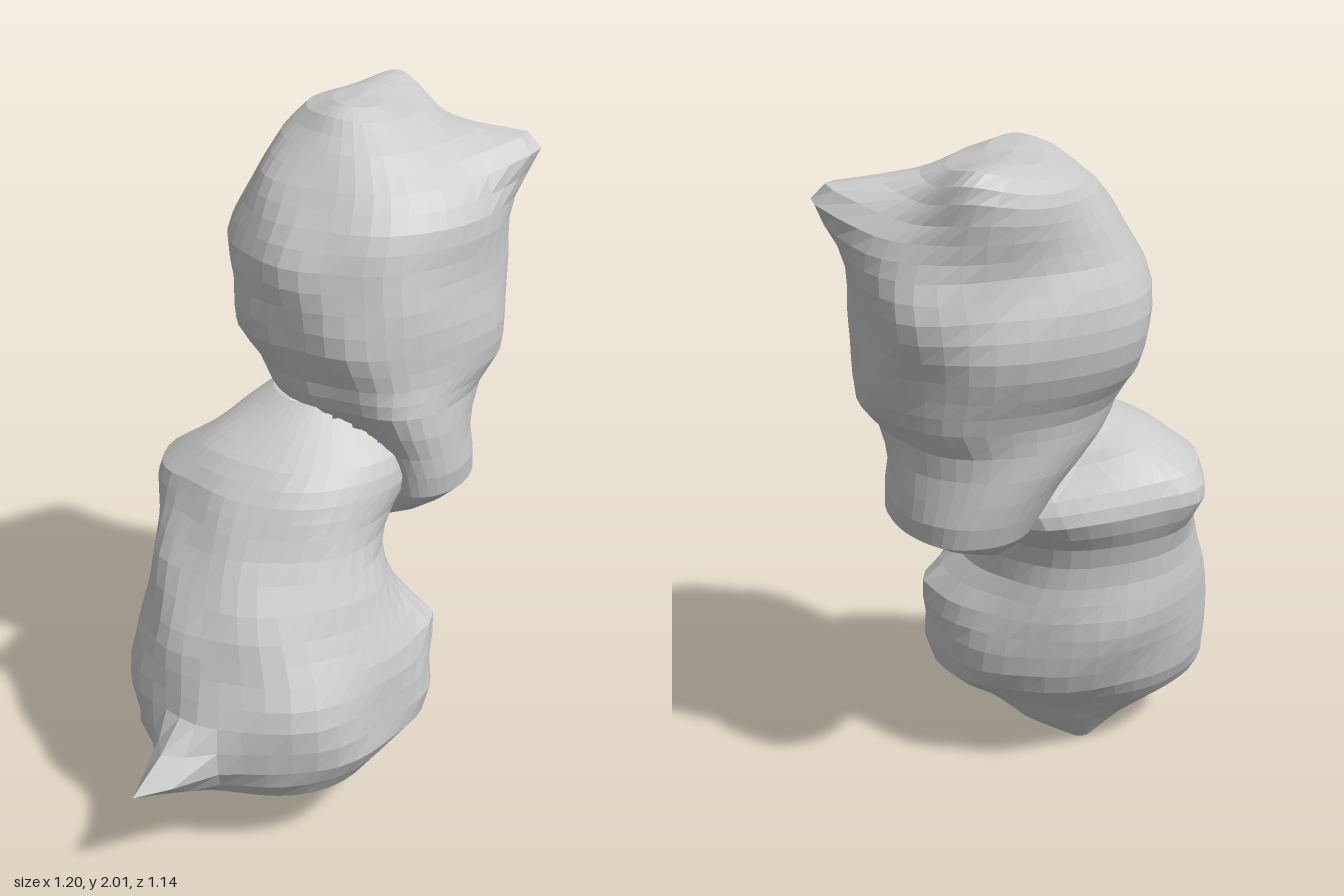
import * as THREE from 'three';

const SEGMENTS = 40;

// Smooth, repeatable lumps for the rocky surface
function lump(x, y, z) {
  return 0.5 * Math.sin(9 * x + 4 * y + 1) * Math.sin(8 * z - 5 * y)
    + 0.5 * Math.sin(17 * y + 6 * x) * Math.sin(15 * z + 11 * x + 2);
}

// True when a point lies well inside the ovals of a lobe
function isInside({ rings }, p) {
  const k = rings.findIndex((r) => r[0] > p.y);
  if (k < 1) return false;
  const t = (p.y - rings[k - 1][0]) / (rings[k][0] - rings[k - 1][0]);
  const [, x0, x1, z0, z1] = rings[k].map((e, i) => THREE.MathUtils.lerp(rings[k - 1][i], e, t));
  const u = (2 * p.x - x0 - x1) / (x1 - x0);
  const w = (2 * p.z - z0 - z1) / (z1 - z0);
  return u * u + w * w < 0.72;
}

// Loft through rings [y, xMin, xMax, zMin, zMax]. frontPower and backPower set how square (< 1)
// or pointed (> 1) each half is; bumps pull the surface from a base towards a tip.
// Faces buried in the neighbouring lobe are left out.
function makeLobe(name, { rings, frontPower, backPower, bumps }, neighbour, material) {
  const curves = [1, 2, 3, 4].map((i) =>
    new THREE.CatmullRomCurve3(rings.map((r) => new THREE.Vector3(r[i], r[0], 0)), false, 'centripetal'));
  const pulls = bumps.map(({ base, tip, radius }) => {
    const from = new THREE.Vector3(...base);
    return { from, by: new THREE.Vector3(...tip).sub(from), radius };
  });
  const steps = (rings.length - 1) * 2;
  const points = [];
  const index = [];

  for (let s = 0; s <= steps; s++) {
    const samples = curves.map((c) => c.getPoint(s / steps));
    const [x0, x1, z0, z1] = samples.map((p) => p.x);
    const y = (rings[Math.floor(s / 2)][0] + rings[Math.ceil(s / 2)][0]) / 2;
    for (let i = 0; i < SEGMENTS; i++) {
      const a = (i / SEGMENTS) * Math.PI * 2;
      const c = Math.cos(a), n = Math.sin(a);
      const power = n > 0 ? frontPower : backPower;
      const px = Math.sign(c) * Math.abs(c) ** power;
      const pz = Math.sign(n) * Math.abs(n) ** power;
      const v = new THREE.Vector3((x0 + x1) / 2 + px * (x1 - x0) / 2, y, (z0 + z1) / 2 + pz * (z1 - z0) / 2);
      const k = 0.018 * lump(v.x, v.y, v.z) * Math.min(1, (x1 - x0) * 2);
      v.x += px * k;
      v.z += pz * k;
      const push = new THREE.Vector3();
      for (const { from, by, radius } of pulls) {
        push.addScaledVector(by, Math.exp(-v.distanceToSquared(from) / (radius * radius)));
      }
      points.push(v.add(push));
    }
  }

  const addFace = (a, b, c) => {
    const middle = points[a].clone().add(points[b]).add(points[c]).divideScalar(3);
    if (!isInside(neighbour, middle)) index.push(a, b, c);
  };

  // Side faces
  for (let s = 0; s < steps; s++) {
    for (let i = 0; i < SEGMENTS; i++) {
      const a = s * SEGMENTS + i, b = s * SEGMENTS + (i + 1) % SEGMENTS;
      addFace(a, a + SEGMENTS, b);
      addFace(b, a + SEGMENTS, b + SEGMENTS);
    }
  }

  // End caps
  for (const s of [0, steps]) {
    const first = s * SEGMENTS;
    const centre = new THREE.Vector3();
    for (let i = 0; i < SEGMENTS; i++) centre.addScaledVector(points[first + i], 1 / SEGMENTS);
    const m = points.push(centre) - 1;
    for (let i = 0; i < SEGMENTS; i++) {
      const a = first + i, b = first + (i + 1) % SEGMENTS;
      if (s === 0) addFace(m, a, b);
      else addFace(m, b, a);
    }
  }

  const geometry = new THREE.BufferGeometry().setFromPoints(points);
  geometry.setIndex(index);
  geometry.computeVertexNormals();
  const mesh = new THREE.Mesh(geometry, material);
  mesh.name = name;
  return mesh;
}

// Lower lobe, leaning back as it rises, with a spur at its front foot
const lowerLobe = {
  frontPower: 0.95,
  backPower: 0.93,
  rings: [
    [0.0, -0.24, -0.16, 0.05, 0.14],
    [0.1, -0.36, 0.0, -0.02, 0.27],
    [0.2, -0.52, 0.12, -0.1, 0.44],
    [0.31, -0.57, 0.25, -0.18, 0.5],
    [0.45, -0.59, 0.26, -0.23, 0.5],
    [0.57, -0.57, 0.24, -0.24, 0.46],
    [0.68, -0.54, 0.17, -0.24, 0.42],
    [0.82, -0.52, 0.14, -0.27, 0.35],
    [0.93, -0.5, 0.17, -0.32, 0.3],
    [1.01, -0.48, 0.21, -0.31, 0.26],
    [1.09, -0.38, 0.21, -0.28, 0.21],
    [1.16, -0.26, 0.16, -0.26, 0.12],
    [1.22, -0.16, 0.1, -0.24, 0.03],
  ],
  bumps: [
    { base: [-0.45, 0.31, 0.41], tip: [-0.61, 0.31, 0.58], radius: 0.075 }, // spur
    { base: [-0.51, 0.22, 0.08], tip: [-0.56, 0.22, 0.07], radius: 0.1 },
    { base: [0.23, 0.56, 0.13], tip: [0.27, 0.57, 0.13], radius: 0.07 },
    { base: [-0.42, 0.95, -0.23], tip: [-0.45, 0.95, -0.27], radius: 0.1 }, // back shoulder
    { base: [0.03, 0.92, -0.28], tip: [0.05, 0.92, -0.33], radius: 0.13 },
    { base: [-0.4, 1.0, 0.14], tip: [-0.36, 1.01, 0.1], radius: 0.17 },
    { base: [0.12, 0.38, 0.36], tip: [0.085, 0.38, 0.325], radius: 0.19 },
  ],
};

// Upper lobe, set back and to the left, pointed in front, with two horns on its crown
const upperLobe = {
  frontPower: 1.06,
  backPower: 0.88,
  rings: [
    [0.82, 0.1, 0.18, -0.24, -0.05],
    [0.88, 0.06, 0.3, -0.34, 0.05],
    [0.95, 0.03, 0.42, -0.44, 0.11],
    [1.08, -0.05, 0.42, -0.47, 0.14],
    [1.22, -0.16, 0.43, -0.47, 0.17],
    [1.3, -0.19, 0.49, -0.49, 0.16],
    [1.4, -0.25, 0.51, -0.53, 0.17],
    [1.52, -0.26, 0.51, -0.56, 0.17],
    [1.63, -0.27, 0.51, -0.56, 0.15],
    [1.73, -0.23, 0.51, -0.54, 0.11],
    [1.82, -0.18, 0.48, -0.54, 0.04],
    [1.9, -0.11, 0.38, -0.53, -0.05],
    [1.96, -0.04, 0.27, -0.5, -0.14],
    [1.98, 0.03, 0.17, -0.43, -0.2],
  ],
  bumps: [
    { base: [0.45, 1.85, -0.22], tip: [0.59, 1.9, -0.2], radius: 0.11 }, // side horn
    { base: [0.22, 1.93, -0.48], tip: [0.25, 1.98, -0.54], radius: 0.1 }, // back horn
    { base: [0.05, 1.97, -0.22], tip: [0.04, 1.99, -0.2], radius: 0.1 },
    { base: [0.42, 1.64, -0.48], tip: [0.455, 1.64, -0.52], radius: 0.17 },
    { base: [-0.19, 1.52, -0.44], tip: [-0.22, 1.52, -0.465], radius: 0.17 },
    { base: [0.37, 1.5, 0.06], tip: [0.345, 1.5, 0.03], radius: 0.22 },
    { base: [0.0, 1.04, 0.08], tip: [0.06, 1.05, 0.04], radius: 0.17 },
  ],
};

export function createModel() {
  const group = new THREE.Group();
  group.name = 'twoLobedRock';
  const material = new THREE.MeshStandardMaterial({ color: 0xcccccc, flatShading: true });
  group.add(makeLobe('lowerLobe', lowerLobe, upperLobe, material));
  group.add(makeLobe('upperLobe', upperLobe, lowerLobe, material));
  return group;
}
